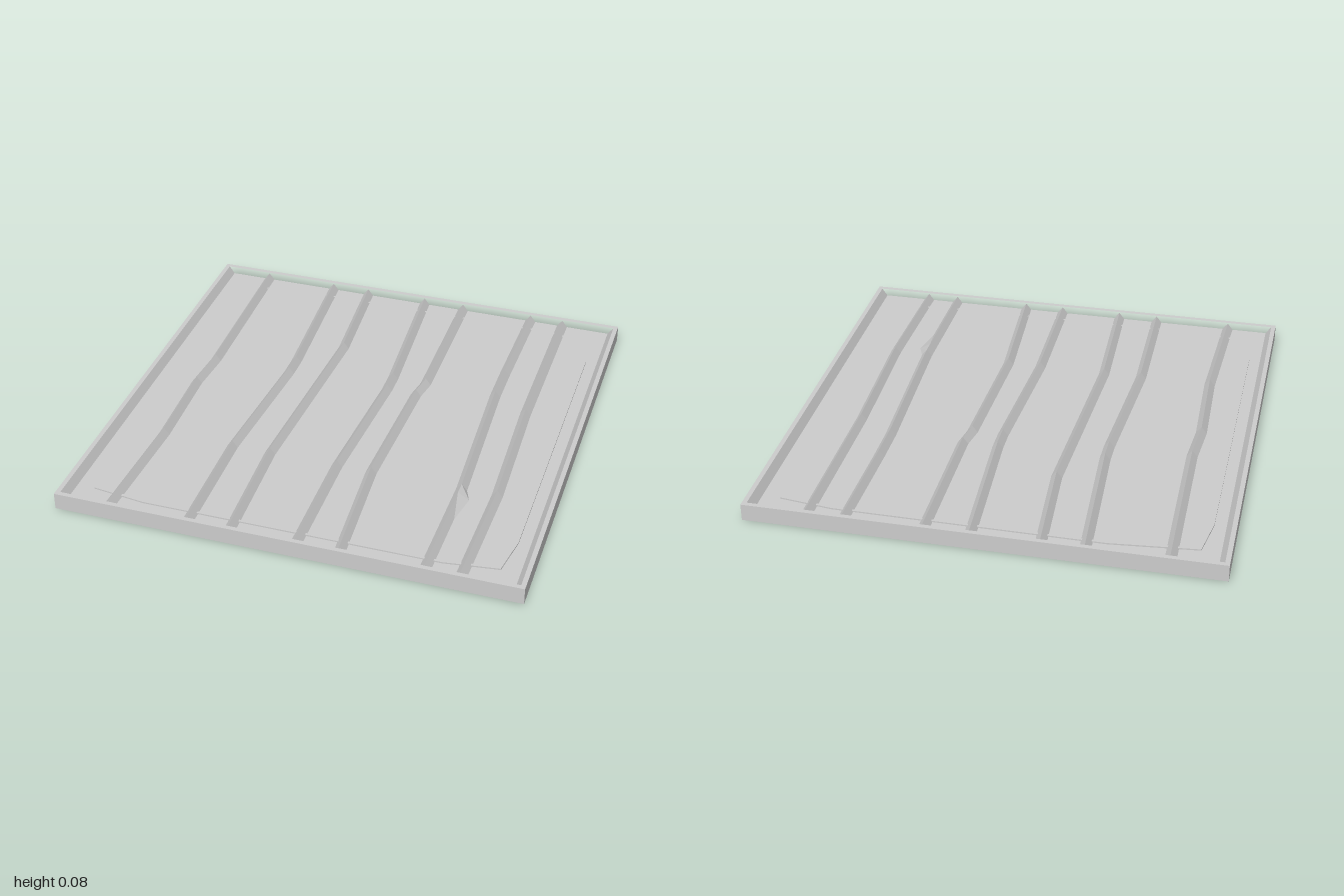
import * as THREE from 'three';

const SHEET_Y = 0.04, RIDGE_Y = 0.071, RIM_Y = 0.075;

// Chamfered outline of the opening, as [x, z]
const OPENING = [
  [-0.87, -0.87], [-0.5, -0.905], [0.64, -0.9], [0.87, -0.87], [0.9, -0.69], [0.9, 0.69],
  [0.87, 0.87], [0.64, 0.9], [-0.64, 0.9], [-0.87, 0.87], [-0.9, 0.69], [-0.9, -0.69],
];

// Crest line of each ridge, as [z, x] waypoints
const RIDGES = [
  [[-0.98, -0.765], [-0.2, -0.75], [0, -0.765], [0.42, -0.75], [0.98, -0.77]],
  [[-0.98, -0.425], [-0.25, -0.385], [0.42, -0.43], [0.98, -0.42]],
  [[-0.98, -0.245], [-0.48, -0.212], [0.42, -0.257], [0.98, -0.235]],
  [[-0.98, 0.045], [-0.25, 0.087], [0.42, 0.047], [0.98, 0.05]],
  [[-0.98, 0.24], [-0.3, 0.24], [-0.2, 0.222], [0.42, 0.2], [0.98, 0.235]],
  [[-0.98, 0.577], [-0.35, 0.565], [0.42, 0.597], [0.98, 0.588]],
  [[-0.98, 0.733], [-0.2, 0.73], [0.42, 0.75], [0.98, 0.735]],
];
const CHIPPED = 5; // ridge with a chip on its right flank

function xAt(path, z) {
  let i = 0;
  while (i < path.length - 2 && z > path[i + 1][0]) i++;
  const [a, b] = [path[i], path[i + 1]];
  return THREE.MathUtils.lerp(a[1], b[1], (z - a[0]) / (b[0] - a[0]));
}

const outline = (pts) => pts.map(([x, z]) => new THREE.Vector2(x, -z));
const square = (r) => [[-r, -r], [r, -r], [r, r], [-r, r]];

// Upright ring between two outlines
function ring(name, outer, inner, y0, y1, material) {
  const shape = new THREE.Shape(outline(outer));
  shape.holes.push(new THREE.Path(outline(inner)));
  const geo = new THREE.ExtrudeGeometry(shape, { depth: y1 - y0, bevelEnabled: false });
  geo.rotateX(-Math.PI / 2).translate(0, y0, 0);
  const mesh = new THREE.Mesh(geo, material);
  mesh.name = name;
  return mesh;
}

// Cross-section of the plank sheet at one z, from -x to +x
function section(z) {
  const pts = [[-0.98, RIM_Y], [-0.955, SHEET_Y]];
  RIDGES.forEach((path, i) => {
    const x = xAt(path, z);
    const chip = i === CHIPPED && z === 0.48 ? 0.025 : 0;
    pts.push([x - 0.024, SHEET_Y], [x, RIDGE_Y], [x + 0.024 + chip, SHEET_Y]);
  });
  pts.push([0.955, SHEET_Y], [0.98, RIM_Y]);
  return pts.map(([x, y]) => [x, y, z]);
}

function plankSheet() {
  const stations = [-0.98, -0.48, -0.3, -0.2, 0, 0.36, 0.42, 0.48, 0.62, 0.98];
  const rows = stations.map(section);
  const pos = [];
  for (let r = 0; r < rows.length - 1; r++) {
    for (let i = 0; i < rows[r].length - 1; i++) {
      const a = rows[r][i], b = rows[r][i + 1], c = rows[r + 1][i + 1], d = rows[r + 1][i];
      pos.push(...a, ...d, ...c, ...a, ...c, ...b);
    }
  }
  const geo = new THREE.BufferGeometry();
  geo.setAttribute('position', new THREE.Float32BufferAttribute(pos, 3));
  geo.computeVertexNormals();
  return geo;
}

export function createModel() {
  const group = new THREE.Group();
  group.name = 'plankPanel';
  const grey = new THREE.MeshStandardMaterial({ color: 0xcccccc, flatShading: true });
  const thin = new THREE.MeshStandardMaterial({ color: 0xcccccc, flatShading: true, side: THREE.DoubleSide });

  // Outer frame and the flat border beneath, open in the middle
  group.add(ring('outerFrame', square(1), square(0.98), 0, RIM_Y, grey));
  group.add(ring('lowerBorder', square(0.98), OPENING, 0, 0.036, grey));

  // Thin lip around the opening, just proud of the planks
  const lipOuter = OPENING.map(([x, z]) => [x * 1.006, z * 1.006]);
  const lipInner = OPENING.map(([x, z]) => [x * 0.994, z * 0.994]);
  group.add(ring('openingLip', lipOuter, lipInner, 0, 0.046, grey));

  // Ridged plank sheet, seen from above and through the opening
  const planks = new THREE.Mesh(plankSheet(), thin);
  planks.name = 'plankSheet';
  group.add(planks);
  return group;
}
